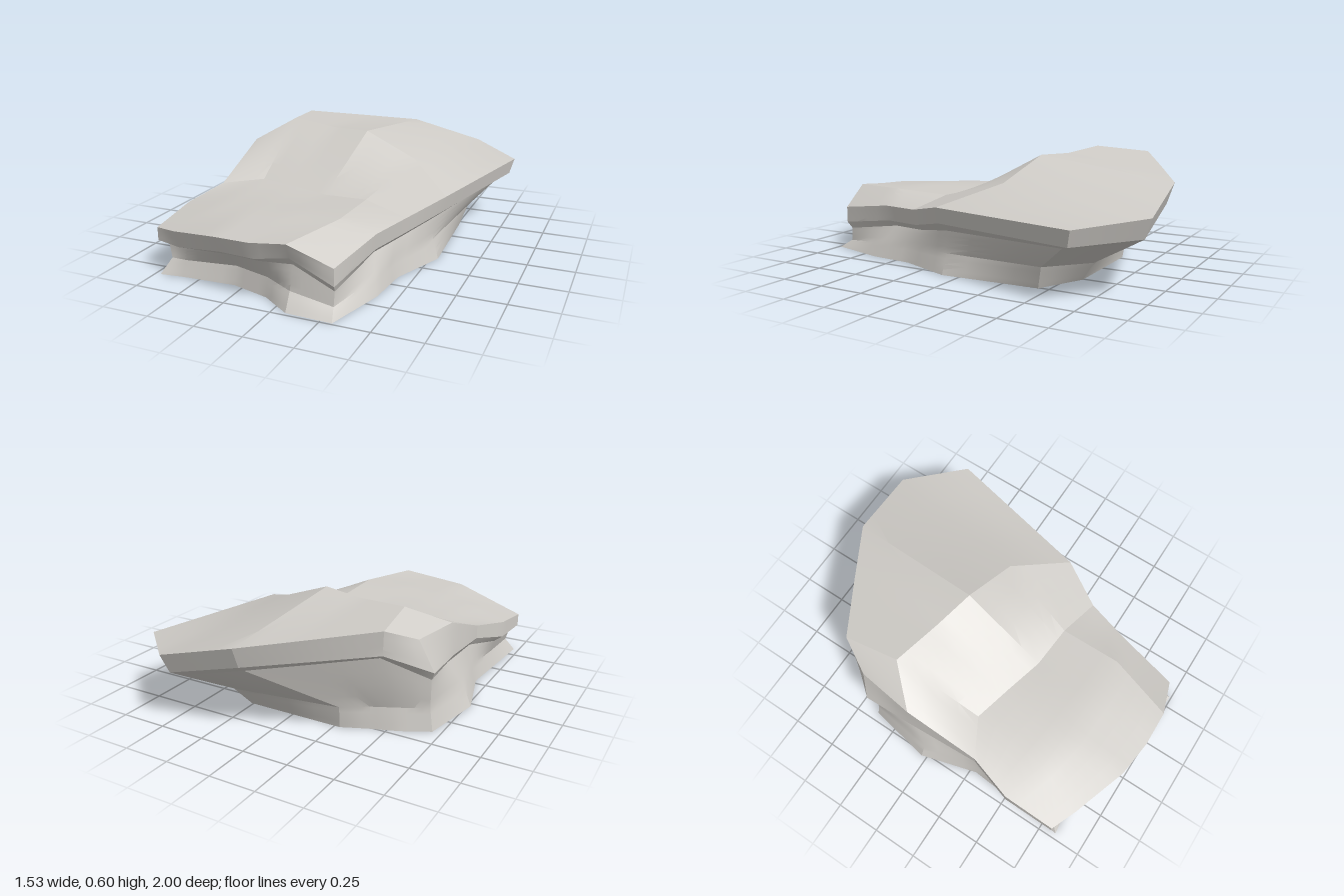
import * as THREE from 'three';
import { toCreasedNormals } from 'three/addons/utils/BufferGeometryUtils.js';

// Upper surface: rows run front to back, each row from -x to +x
const topRows = [
  [[-0.74, 0.245, 0.81], [-0.6, 0.265, 0.87], [-0.3, 0.32, 0.975], [-0.1, 0.33, 1.0], [0.09, 0.35, 0.995], [0.3, 0.245, 0.94]],
  [[-0.74, 0.29, 0.52], [-0.5, 0.325, 0.6], [-0.3, 0.345, 0.62], [-0.05, 0.36, 0.63], [0.2, 0.365, 0.64], [0.37, 0.295, 0.59]],
  [[-0.67, 0.335, 0.28], [-0.47, 0.35, 0.17], [-0.25, 0.35, 0.225], [-0.04, 0.345, 0.28], [0.2, 0.355, 0.3], [0.44, 0.305, 0.35]],
  [[-0.68, 0.49, -0.13], [-0.5, 0.6, -0.31], [-0.22, 0.58, -0.25], [0.01, 0.59, -0.2], [0.32, 0.47, -0.14], [0.575, 0.36, 0.11]],
  [[-0.64, 0.5, -0.44], [-0.54, 0.58, -0.61], [-0.24, 0.54, -0.79], [0.06, 0.5, -0.965], [0.475, 0.395, -1.0], [0.765, 0.365, -0.73]],
];

// One entry per rim corner, counterclockwise from the front -x corner:
// lip inset, lip y, undercut inset, undercut y, base x, base z, waist inset, waist y
const columns = [
  [0, 0.175, 0.05, 0.155, -0.72, 0.84, 0.06, 0.08],
  [0.02, 0.175, 0.06, 0.16, -0.6, 0.825, 0.03, 0.085],
  [0.03, 0.235, 0.08, 0.205, -0.3, 0.81, 0.02, 0.1],
  [0.03, 0.24, 0.08, 0.21, -0.09, 0.87, 0.02, 0.1],
  [0.04, 0.265, 0.08, 0.22, 0.07, 0.98, 0.06, 0.085],
  [0, 0.155, 0.03, 0.12, 0.31, 0.99, 0.07, 0.045],
  [0.02, 0.21, 0.08, 0.18, 0.4, 0.66, 0.06, 0.08],
  [0.02, 0.22, 0.08, 0.19, 0.42, 0.41, 0.04, 0.09],
  [0.03, 0.275, 0.12, 0.23, 0.54, 0.1, 0.06, 0.11],
  [0.03, 0.28, 0.1, 0.26, 0.51, -0.445, -0.08, 0.12],
  [0.04, 0.29, 0.09, 0.26, 0.26, -0.57, -0.13, 0.105],
  [0.04, 0.39, 0.08, 0.36, -0.28, -0.57, -0.03, 0.12],
  [0.03, 0.42, 0.08, 0.39, -0.42, -0.51, 0.01, 0.12],
  [0.02, 0.45, 0.08, 0.42, -0.56, -0.46, 0.03, 0.12],
  [0, 0.325, 0, 0.28, -0.705, -0.385, 0.03, 0.12],
  [-0.03, 0.32, 0.02, 0.27, -0.77, -0.03, 0.06, 0.11],
  [0, 0.26, 0.05, 0.22, -0.68, 0.285, 0.03, 0.1],
  [0, 0.2, 0.05, 0.175, -0.7, 0.55, 0.04, 0.09],
];
const BULGE = 14; // corner of the -x side that swells out below the rim

// Move a plan position toward the centre and set its height
const inset = (x, z, k, y) => [x * (1 - k), y, z * (1 - k)];
const mix = (a, b, t) => a.map((v, i) => v + (b[i] - v) * t);

// Mesh from twisted quads, each divided into a small bilinear patch
function patchMesh(name, quads, crease, material, steps = 4) {
  const positions = [];
  for (const [a, b, c, d] of quads) {
    const at = (i, j) => mix(mix(a, b, i / steps), mix(d, c, i / steps), j / steps);
    for (let i = 0; i < steps; i++) {
      for (let j = 0; j < steps; j++) {
        const p = at(i, j), q = at(i + 1, j), r = at(i + 1, j + 1), s = at(i, j + 1);
        positions.push(...p, ...q, ...r, ...p, ...r, ...s);
      }
    }
  }
  const geometry = new THREE.BufferGeometry();
  geometry.setAttribute('position', new THREE.Float32BufferAttribute(positions, 3));
  const mesh = new THREE.Mesh(toCreasedNormals(geometry, crease), material);
  mesh.name = name;
  return mesh;
}

// Quads joining a lower closed ring to an upper one
const band = (low, high) => low.map((p, i) => {
  const j = (i + 1) % low.length;
  return [p, low[j], high[j], high[i]];
});

export function createModel() {
  const stone = new THREE.MeshStandardMaterial({ color: 0xd0cdc8 });
  stone.name = 'pale grey stone';
  const rock = new THREE.Group();
  rock.name = 'rock';

  // Uneven top with a shallow front shelf and a raised back
  const topQuads = [];
  for (let r = 0; r < topRows.length - 1; r++) {
    const front = topRows[r], back = topRows[r + 1];
    for (let i = 0; i < front.length - 1; i++) topQuads.push([front[i], front[i + 1], back[i + 1], back[i]]);
  }
  rock.add(patchMesh('topSurface', topQuads, 0.2, stone));

  // The rim follows the edge of the top
  const middle = topRows.slice(1, -1);
  const rim = [
    ...topRows[0],
    ...middle.map((row) => row[row.length - 1]),
    ...[...topRows[topRows.length - 1]].reverse(),
    ...middle.map((row) => row[0]).reverse(),
  ];
  const lip = columns.map((c, i) => inset(rim[i][0], rim[i][2], c[0], c[1]));
  const undercut = columns.map((c, i) => inset(rim[i][0], rim[i][2], c[2], c[3]));
  const base = columns.map((c) => [c[4], 0, c[5]]);
  const waist = columns.map((c) => inset(c[4], c[5], c[6], c[7]));
  lip[BULGE] = [-0.71, 0.325, -0.4];
  undercut[BULGE] = [-0.69, 0.28, -0.385];

  // Overhanging ledge, recessed wall and flared foot
  rock.add(patchMesh('ledge', [...band(lip, rim), ...band(undercut, lip)], 0.3, stone));
  rock.add(patchMesh('wallAndFoot', [...band(waist, undercut), ...band(base, waist)], 0.35, stone));

  // Flat underside
  const outline = base.map(([x, , z]) => new THREE.Vector2(x, z));
  const underside = new THREE.Mesh(new THREE.ShapeGeometry(new THREE.Shape(outline)), stone);
  underside.geometry.rotateX(Math.PI / 2);
  underside.name = 'underside';
  rock.add(underside);
  return rock;
}
